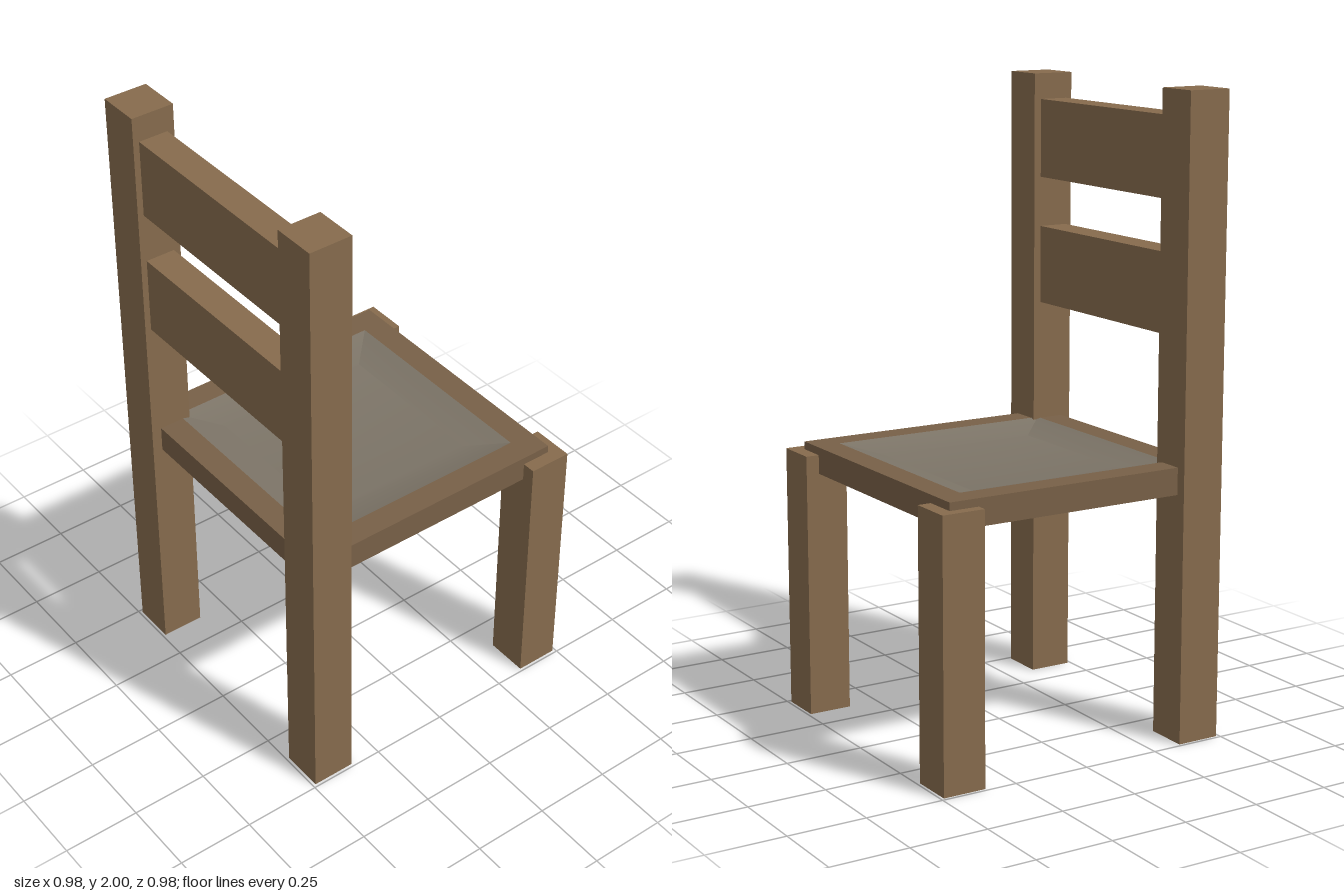
import * as THREE from 'three';
import { toCreasedNormals } from 'three/addons/utils/BufferGeometryUtils.js';

export function createModel() {
  const chair = new THREE.Group();
  chair.name = 'chair';
  const wood = new THREE.MeshStandardMaterial({ color: 0x866b4d });
  const frameWood = new THREE.MeshStandardMaterial({ color: 0x786047 });
  const fabric = new THREE.MeshStandardMaterial({ color: 0x7c7467 });

  const add = (name, geometry, material) => {
    const mesh = new THREE.Mesh(geometry, material);
    mesh.name = name;
    chair.add(mesh);
    return mesh;
  };
  const box = (name, w, h, d, x, y, z, material = wood) =>
    add(name, new THREE.BoxGeometry(w, h, d), material).position.set(x, y, z);

  // Legs: the rear pair carries on up as the back posts
  for (const [side, z] of [['Right', 0.42], ['Left', -0.42]]) {
    box('rearPost' + side, 0.14, 2, 0.14, -0.42, 1, z);
    box('frontLeg' + side, 0.14, 0.845, 0.14, 0.42, 0.4225, z);
  }

  // Back slats between the posts
  box('upperSlat', 0.096, 0.25, 0.72, -0.422, 1.793, 0);
  box('lowerSlat', 0.096, 0.25, 0.72, -0.422, 1.383, 0);

  // Seat frame: square ring with a solid base board
  const cx = -0.005, outer = 0.452, inner = 0.37, floor = 0.265;
  const bottom = 0.785, top = 0.87, dip = 0.03;
  const square = (PathType, r) => new PathType([[-r, -r], [r, -r], [r, r], [-r, r]]
    .map(([x, y]) => new THREE.Vector2(x, y)));
  const ring = square(THREE.Shape, outer);
  ring.holes.push(square(THREE.Path, inner));
  const ringGeo = new THREE.ExtrudeGeometry(ring, { depth: top - bottom, bevelEnabled: false });
  ringGeo.rotateX(-Math.PI / 2);
  add('seatFrame', ringGeo, frameWood).position.set(cx, bottom, cx);
  box('seatBase', inner * 2, 0.03, inner * 2, cx, bottom + 0.015, cx, frameWood);

  // Dished seat panel: four sloping sides down to a flat middle
  const profile = [[inner, top], [floor, top - dip], [0, top - dip]]
    .map(([r, y]) => new THREE.Vector2(r * Math.SQRT2, y));
  const dish = toCreasedNormals(new THREE.LatheGeometry(profile, 4, Math.PI / 4), 0.33);
  add('seatPanel', dish, fabric).position.set(cx, 0, cx);

  return chair;
}
